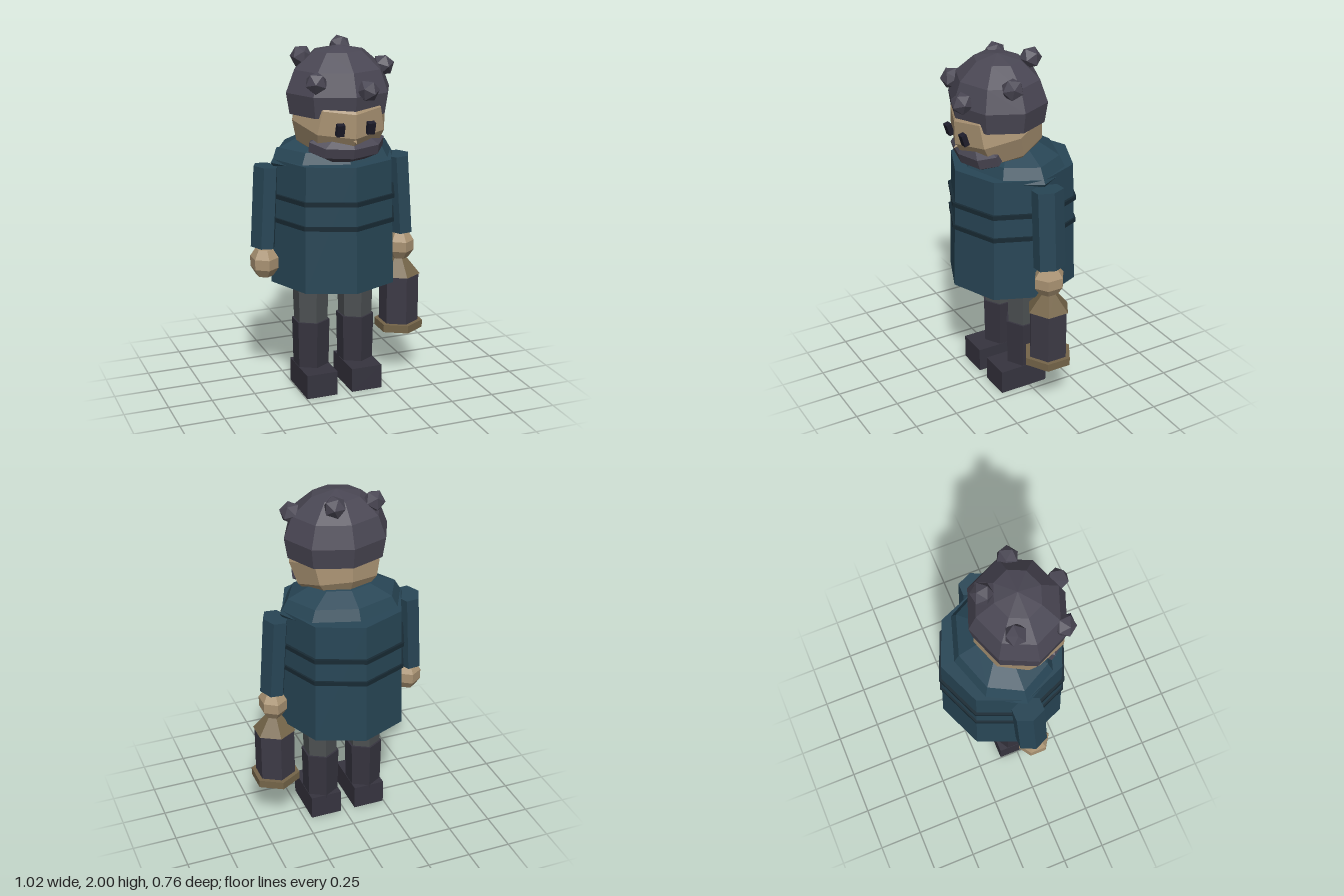
import * as THREE from 'three';

const COLORS = {
  coat: 0x284656, trim: 0x182a34, hat: 0x4a4754, boot: 0x36343f, trousers: 0x4d5153,
  skin: 0xab9474, brass: 0x756549, lantern: 0x3d3a46, eye: 0x1e1d2b,
};
const materials = {};
for (const [key, color] of Object.entries(COLORS)) {
  materials[key] = new THREE.MeshStandardMaterial({ color, flatShading: true });
}

function add(parent, name, geometry, color, x, y, z) {
  const mesh = new THREE.Mesh(geometry, materials[color]);
  mesh.name = name;
  mesh.position.set(x, y, z);
  parent.add(mesh);
  return mesh;
}

// faceted ellipsoid
const ellipsoid = (rx, ry, rz, sides, rings, turn = 0) =>
  new THREE.SphereGeometry(1, sides, rings).rotateY(turn).scale(rx, ry, rz);

// straight or tapered prism, from y = bottom to y = top
function prism(parent, name, rTop, rBottom, bottom, top, sides, color, x, z) {
  const geometry = new THREE.CylinderGeometry(rTop, rBottom, top - bottom, sides);
  return add(parent, name, geometry, color, x, (top + bottom) / 2, z);
}

export function createModel() {
  const model = new THREE.Group();
  const body = new THREE.Group();
  body.name = 'body';
  body.position.set(-0.02, 0, -0.01);
  model.add(body);

  // coat, shoulders and the two bands
  prism(body, 'coat', 0.347, 0.367, 0.66, 1.36, 8, 'coat', 0, 0);
  add(body, 'shoulders', ellipsoid(0.36, 0.16, 0.28, 8, 6), 'coat', 0, 1.34, 0);
  for (const y of [1.025, 1.16]) {
    prism(body, 'coatBand', 0.368, 0.368, y - 0.012, y + 0.012, 8, 'trim', 0, 0);
  }

  for (const side of [1, -1]) {
    const label = side > 0 ? 'left' : 'right';
    const forward = side > 0 ? 0 : 0.025;

    // legs and boots
    const legX = side * 0.135;
    prism(body, label + 'TrouserLeg', 0.107, 0.095, 0.38, 0.72, 6, 'trousers', legX, 0);
    prism(body, label + 'BootShaft', 0.108, 0.102, 0.12, 0.41, 6, 'boot', legX, 0);
    add(body, label + 'BootFoot', new THREE.BoxGeometry(0.182, 0.14, 0.29), 'boot', legX, 0.07, 0.045);

    // arms, slightly splayed, with the hands below
    const sleeve = new THREE.CylinderGeometry(1, 1, 0.45, 6).rotateY(Math.PI / 6).scale(0.07, 1, 0.092);
    const arm = add(body, label + 'Sleeve', sleeve, 'coat', side * 0.4, 1.1, 0);
    arm.rotation.set(-forward * 1.5, 0, side * 0.067);
    add(body, label + 'Hand', ellipsoid(0.082, 0.094, 0.095, 6, 5, Math.PI / 6), 'skin',
      side * 0.413, 0.79, forward);
  }

  // lantern hanging from the left hand
  const lantern = new THREE.Group();
  lantern.name = 'lantern';
  lantern.position.set(0.41, 0, 0);
  body.add(lantern);
  prism(lantern, 'lanternBase', 0.14, 0.14, 0.285, 0.33, 6, 'brass', 0, 0);
  prism(lantern, 'lanternBody', 0.114, 0.114, 0.33, 0.615, 6, 'lantern', 0, 0);
  prism(lantern, 'lanternCap', 0.035, 0.122, 0.615, 0.72, 6, 'brass', 0, 0);

  // head and face
  const head = new THREE.Group();
  head.name = 'head';
  head.position.x = -0.02;
  model.add(head);
  const skull = add(head, 'face', ellipsoid(0.268, 0.25, 0.26, 8, 6), 'skin', 0, 1.59, 0.085);
  skull.rotation.x = 0.3;
  const beard = add(head, 'beard', ellipsoid(0.225, 0.09, 0.125, 8, 5), 'hat', 0, 1.46, 0.195);
  beard.rotation.x = 0.3;
  const nose = add(head, 'nose', new THREE.ConeGeometry(0.035, 0.09, 4), 'skin', 0, 1.51, 0.305);
  nose.rotation.x = Math.PI / 2 + 0.45;
  for (const side of [1, -1]) {
    const eye = add(head, 'eye', new THREE.BoxGeometry(0.042, 0.065, 0.03), 'eye', side * 0.086, 1.567, 0.325);
    eye.rotation.x = 0.3;
  }

  // domed hat, open at the rim
  const profile = [[0.278, 1.62], [0.297, 1.735], [0.25, 1.855], [0.14, 1.948], [0, 1.975]]
    .map(([r, y]) => new THREE.Vector2(r, y));
  const hat = add(head, 'hat', new THREE.LatheGeometry(profile, 8).scale(1, 1, 0.89), 'hat', 0, 0, 0.075);
  hat.material = materials.hat.clone();
  hat.material.side = THREE.DoubleSide;

  // knobs on the hat
  const knobs = [
    [-0.18, 1.91, -0.01], [0.07, 1.943, -0.085], [0.24, 1.858, 0.12],
    [-0.19, 1.808, 0.25], [0.07, 1.765, 0.325],
  ];
  knobs.forEach(([x, y, z], i) => {
    const knob = add(head, 'hatKnob', new THREE.IcosahedronGeometry(0.062, 0), 'hat', x, y, z);
    knob.rotation.set(i * 0.7, i * 1.1, i * 0.4);
  });

  return model;
}
